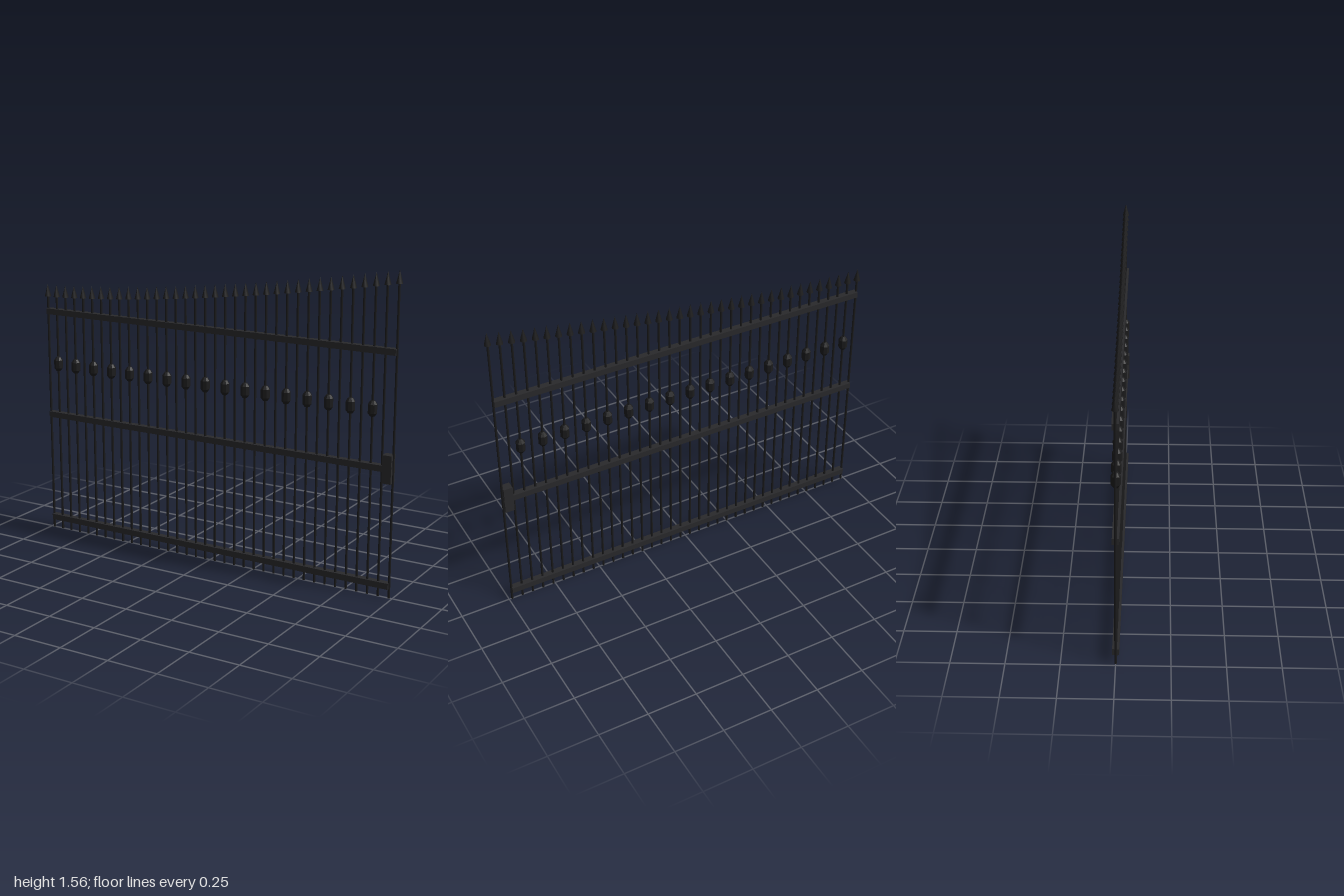
import * as THREE from 'three';

export function createModel() {
  const group = new THREE.Group();
  const iron = new THREE.MeshStandardMaterial({ color: 0x1b1b1c });
  iron.name = 'dark iron';
  const railIron = new THREE.MeshStandardMaterial({ color: 0x29292b });
  railIron.name = 'rail iron';

  const add = (name, geometry, material, x, y, z = 0) => {
    const mesh = new THREE.Mesh(geometry, material);
    mesh.name = name;
    mesh.position.set(x, y, z);
    group.add(mesh);
    return mesh;
  };

  const COUNT = 36, HALF = 0.983, SPIKE = 0.063;
  const spikeGeometry = new THREE.ConeGeometry(0.0168, SPIKE, 8);

  // Faceted collar threaded on every second bar
  const knobProfile = [[0, -0.041], [0.012, -0.037], [0.023, -0.022], [0.023, 0.02], [0.012, 0.036], [0, 0.041]]
    .map(([r, y]) => new THREE.Vector2(r, y));
  const knobGeometry = new THREE.LatheGeometry(knobProfile, 8).toNonIndexed();
  knobGeometry.computeVertexNormals();

  // Upright bars whose tops sweep upward, each with a spear point
  for (let i = 0; i < COUNT; i++) {
    const t = i / (COUNT - 1);
    const x = -HALF + 2 * HALF * t;
    const tip = 1.324 + 0.234 * Math.pow(t, 1.5);
    const length = tip - SPIKE;
    add('bar', new THREE.CylinderGeometry(0.006, 0.006, length, 8), iron, x, length / 2);
    add('spearPoint', spikeGeometry, iron, x, tip - SPIKE / 2);
    if (i % 2 === 1 && i < COUNT - 1) add('knob', knobGeometry, iron, x, 0.908);
  }

  // Horizontal rails
  const railGeometry = new THREE.BoxGeometry(2 * HALF, 0.03, 0.032);
  for (const [name, y] of [['bottomRail', 0.061], ['middleRail', 0.632], ['topRail', 1.184]]) {
    add(name, railGeometry, railIron, 0, y);
  }

  // Lock case at the end of the middle rail
  add('lockCase', new THREE.BoxGeometry(0.046, 0.136, 0.044), railIron, 0.959, 0.632);

  return group;
}
